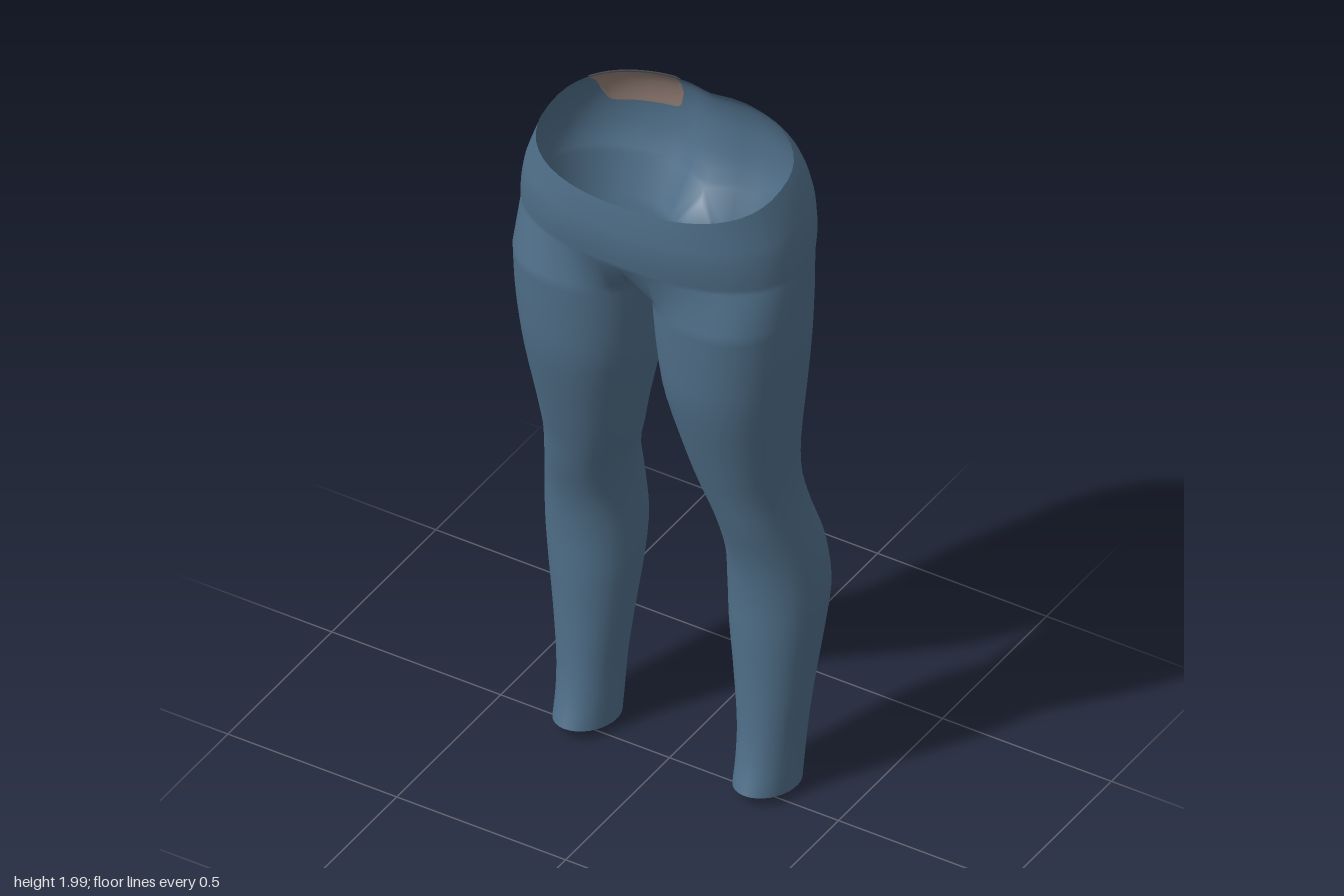
import * as THREE from 'three';
import { mergeVertices } from 'three/addons/utils/BufferGeometryUtils.js';

// Hip sections: y, tilt towards the back, half width, front z, back z, depth of the rear cleft
const HIPS = [
  [1.70, 0.00, 0.400, 0.238, -0.222, 0.055],
  [1.76, 0.02, 0.398, 0.249, -0.245, 0.045],
  [1.82, 0.06, 0.390, 0.254, -0.254, 0.035],
  [1.87, 0.12, 0.376, 0.254, -0.250, 0.025],
  [1.92, 0.16, 0.358, 0.252, -0.232, 0.015],
  [1.955, 0.18, 0.343, 0.249, -0.203, 0.004],
];
// Leg sections: y, outer x, inner x, front z, back z
const LEG = [
  [0.02, 0.345, 0.188, 0.074, -0.150],
  [0.10, 0.348, 0.185, 0.050, -0.154],
  [0.20, 0.355, 0.180, 0.036, -0.161],
  [0.35, 0.372, 0.163, 0.031, -0.177],
  [0.50, 0.390, 0.146, 0.035, -0.202],
  [0.62, 0.400, 0.140, 0.038, -0.218],
  [0.75, 0.390, 0.144, 0.055, -0.205],
  [0.88, 0.366, 0.136, 0.093, -0.168],
  [0.98, 0.356, 0.108, 0.120, -0.148],
  [1.10, 0.361, 0.080, 0.155, -0.143],
  [1.30, 0.383, 0.036, 0.208, -0.163],
  [1.45, 0.398, 0.018, 0.224, -0.168],
  [1.59, 0.402, 0.010, 0.233, -0.176],
];
const SIDES = 32, OUTER = 24;

// Smooth interpolation through a table of sections, v from 0 to 1
function sample(table, v) {
  const f = v * (table.length - 1);
  const i = Math.min(Math.floor(f), table.length - 2), t = f - i;
  const at = (j) => table[Math.max(0, Math.min(table.length - 1, j))];
  return table[0].map((_, c) => {
    const p = at(i)[c], q = at(i + 1)[c];
    const m = (q - at(i - 1)[c]) / 2, n = (at(i + 2)[c] - p) / 2;
    const a = t * t, b = a * t;
    return (2 * b - 3 * a + 1) * p + (b - 2 * a + t) * m + (3 * a - 2 * b) * q + (b - a) * n;
  });
}
const bulge = (s, e) => Math.sign(s) * Math.abs(s) ** e;
const HIP_POWER = 0.85;

// Point on one half of the hips; u runs from front centre (0) to back centre (PI)
function hipPoint(u, v) {
  const [y, tilt, w, zf, zb, cleft] = sample(HIPS, v);
  const x = w * Math.abs(Math.sin(u)) ** HIP_POWER;
  let z = (zf + zb) / 2 + (zf - zb) / 2 * bulge(Math.cos(u), HIP_POWER);
  const dip = u > Math.PI / 2 ? Math.exp(-((x / 0.06) ** 2)) : 0;
  z += cleft * dip;
  return [x, y - tilt * z - 0.012 * dip * v, z];
}

function legPoint(i, v) {
  const [y, xo, xi, zf, zb] = sample(LEG, v);
  const t = (i - OUTER / 2) / SIDES * Math.PI * 2;
  const e = 1 - 0.12 * v;
  const x = (xo + xi) / 2 + (xo - xi) / 2 * bulge(Math.cos(t), e);
  const z = (zf + zb) / 2 + (zf - zb) / 2 * bulge(Math.sin(t), e);
  const hem = Math.max(0, 1 - y / 0.3);
  return [x, y + 0.155 * (z + 0.04) * hem, z];
}

// Row where leg and hips meet: the outside of the hips plus the crotch seam
function seamPoint(i) {
  if (i <= OUTER) return hipPoint((1 - i / OUTER) * Math.PI, 0);
  const s = (i - OUTER) / (SIDES - OUTER) * Math.PI;
  const f = hipPoint(0, 0)[2], b = hipPoint(Math.PI, 0)[2];
  return [0, HIPS[0][0] - 0.085 * Math.sin(s), (f + b) / 2 + (f - b) / 2 * Math.cos(s)];
}

function makeGeometry(positions, index) {
  let g = new THREE.BufferGeometry();
  g.setAttribute('position', new THREE.Float32BufferAttribute(positions, 3));
  g.setIndex(index);
  g = mergeVertices(g, 1e-4);
  g.computeVertexNormals();
  return g;
}

// Both legs and hips as one seamless garment
function garmentGeometry() {
  const positions = [], index = [];
  const legRows = 40, hipRows = 14;
  for (const side of [1, -1]) {
    const base = positions.length / 3;
    const add = (p) => positions.push(p[0] * side, p[1], p[2]);
    for (let r = 0; r <= legRows; r++)
      for (let i = 0; i < SIDES; i++) add(legPoint(i, r / legRows));
    for (let i = 0; i < SIDES; i++) add(seamPoint(i));
    for (let r = 1; r <= hipRows; r++)
      for (let i = 0; i < SIDES; i++)
        add(hipPoint((1 - Math.min(i, OUTER) / OUTER) * Math.PI, r / hipRows));
    for (let r = 0; r <= legRows + hipRows; r++) {
      const count = r <= legRows ? SIDES : OUTER;
      for (let i = 0; i < count; i++) {
        const a = base + r * SIDES + i, b = base + r * SIDES + (i + 1) % SIDES;
        const c = a + SIDES, d = b + SIDES;
        if (side > 0) index.push(a, c, b, b, c, d);
        else index.push(a, b, c, b, d, c);
      }
    }
  }
  return makeGeometry(positions, index);
}

// Patch with rounded lower corners that follows the back of the waist
function patchGeometry(offset) {
  const cols = 20, rows = 10, positions = [], index = [];
  for (let r = 0; r <= rows; r++) {
    for (let c = 0; c <= cols; c++) {
      const s = c / cols, x = 0.105 + 0.2 * s;
      const edge = Math.max(0, Math.abs(2 * s - 1) - 0.75) / 0.25;
      const low = 0.47 + 0.17 * (1 - Math.sqrt(1 - edge * edge));
      const v = low + (1 - low) * r / rows;
      const u = Math.PI - Math.asin((x / sample(HIPS, v)[2]) ** (1 / HIP_POWER));
      const p = hipPoint(u, v);
      positions.push(-p[0], p[1], p[2]);
      if (r < rows && c < cols) {
        const a = r * (cols + 1) + c, d = a + cols + 1;
        index.push(a, a + 1, d, a + 1, d + 1, d);
      }
    }
  }
  const g = makeGeometry(positions, index);
  const p = g.attributes.position, n = g.attributes.normal;
  // Normals are turned to face away from the body before shifting
  const mid = Math.floor(p.count / 2);
  const out = n.getZ(mid) < 0 ? 1 : -1;
  for (let i = 0; i < p.count; i++)
    p.setXYZ(i, p.getX(i) + n.getX(i) * offset * out,
      p.getY(i) + n.getY(i) * offset * out, p.getZ(i) + n.getZ(i) * offset * out);
  return g;
}

export function createModel() {
  const group = new THREE.Group();
  group.name = 'leggings';
  const fabric = new THREE.MeshStandardMaterial({ color: 0x4f6e88, side: THREE.DoubleSide });
  fabric.name = 'blue fabric';
  const tan = new THREE.MeshStandardMaterial({ color: 0x947f76, side: THREE.DoubleSide });
  tan.name = 'tan patch';
  const add = (name, geometry, material) => {
    const mesh = new THREE.Mesh(geometry, material);
    mesh.name = name;
    group.add(mesh);
  };
  add('garment', garmentGeometry(), fabric);
  add('outerPatch', patchGeometry(0.003), tan);
  add('innerPatch', patchGeometry(-0.003), tan);
  return group;
}
